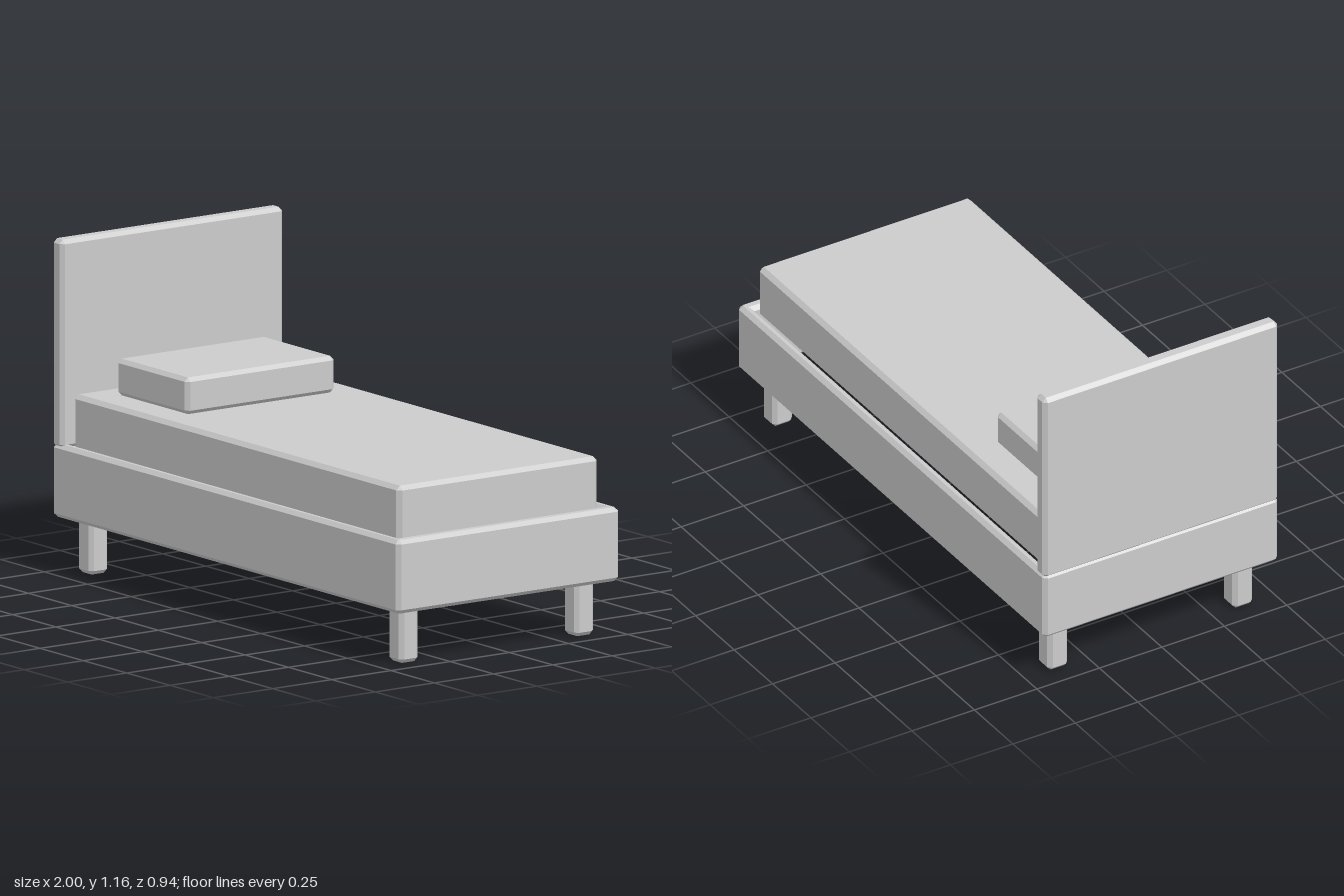
import * as THREE from 'three';
import { ConvexGeometry } from 'three/addons/geometries/ConvexGeometry.js';

const material = new THREE.MeshStandardMaterial({ color: 0xcccccc, flatShading: true });

// Box with flat chamfers on every edge, given by its min and max corners.
function chamferBox(name, min, max, c) {
  const half = min.map((v, i) => (max[i] - v) / 2);
  const points = [];
  for (const sx of [-1, 1]) for (const sy of [-1, 1]) for (const sz of [-1, 1]) {
    for (let axis = 0; axis < 3; axis++) {
      const p = half.map((h, i) => (i === axis ? h : h - c));
      points.push(new THREE.Vector3(p[0] * sx, p[1] * sy, p[2] * sz));
    }
  }
  const mesh = new THREE.Mesh(new ConvexGeometry(points), material);
  mesh.name = name;
  mesh.position.set(...min.map((v, i) => (v + max[i]) / 2));
  return mesh;
}

// Rectangle outline with cut corners.
function cutRect(hx, hz, c) {
  return [
    [hx, -hz + c], [hx, hz - c], [hx - c, hz], [-hx + c, hz],
    [-hx, hz - c], [-hx, -hz + c], [-hx + c, -hz], [hx - c, -hz],
  ].map(([x, y]) => new THREE.Vector2(x, y));
}

// Hollow frame, open above and below, with chamfered rims.
function bedFrame(bottom, top) {
  const bevel = 0.014;
  const shape = new THREE.Shape(cutRect(1, 0.47, bevel));
  const hole = [[0.95, 0.43], [0.95, -0.43], [-0.95, -0.43], [-0.95, 0.43]];
  shape.holes.push(new THREE.Path(hole.map(([x, y]) => new THREE.Vector2(x, y))));
  const geometry = new THREE.ExtrudeGeometry(shape, {
    depth: top - bottom - 2 * bevel,
    bevelEnabled: true,
    bevelSegments: 1,
    bevelThickness: bevel,
    bevelSize: bevel,
    bevelOffset: -bevel,
  });
  geometry.rotateX(-Math.PI / 2);
  geometry.translate(0, bottom + bevel, 0);
  const mesh = new THREE.Mesh(geometry, material);
  mesh.name = 'bedFrame';
  return mesh;
}

export function createModel() {
  const bed = new THREE.Group();
  bed.name = 'bed';

  bed.add(bedFrame(0.19, 0.447));
  bed.add(chamferBox('headboard', [-1, 0.433, -0.47], [-0.94, 1.16, 0.47], 0.014));
  bed.add(chamferBox('mattress', [-0.94, 0.42, -0.423], [0.94, 0.62, 0.423], 0.015));
  bed.add(chamferBox('pillow', [-0.84, 0.62, -0.314], [-0.43, 0.748, 0.314], 0.014));

  // Four short legs under the corners
  for (const x of [-0.895, 0.895]) for (const z of [-0.37, 0.37]) {
    bed.add(chamferBox('leg', [x - 0.04, 0, z - 0.04], [x + 0.04, 0.2, z + 0.04], 0.014));
  }
  return bed;
}
